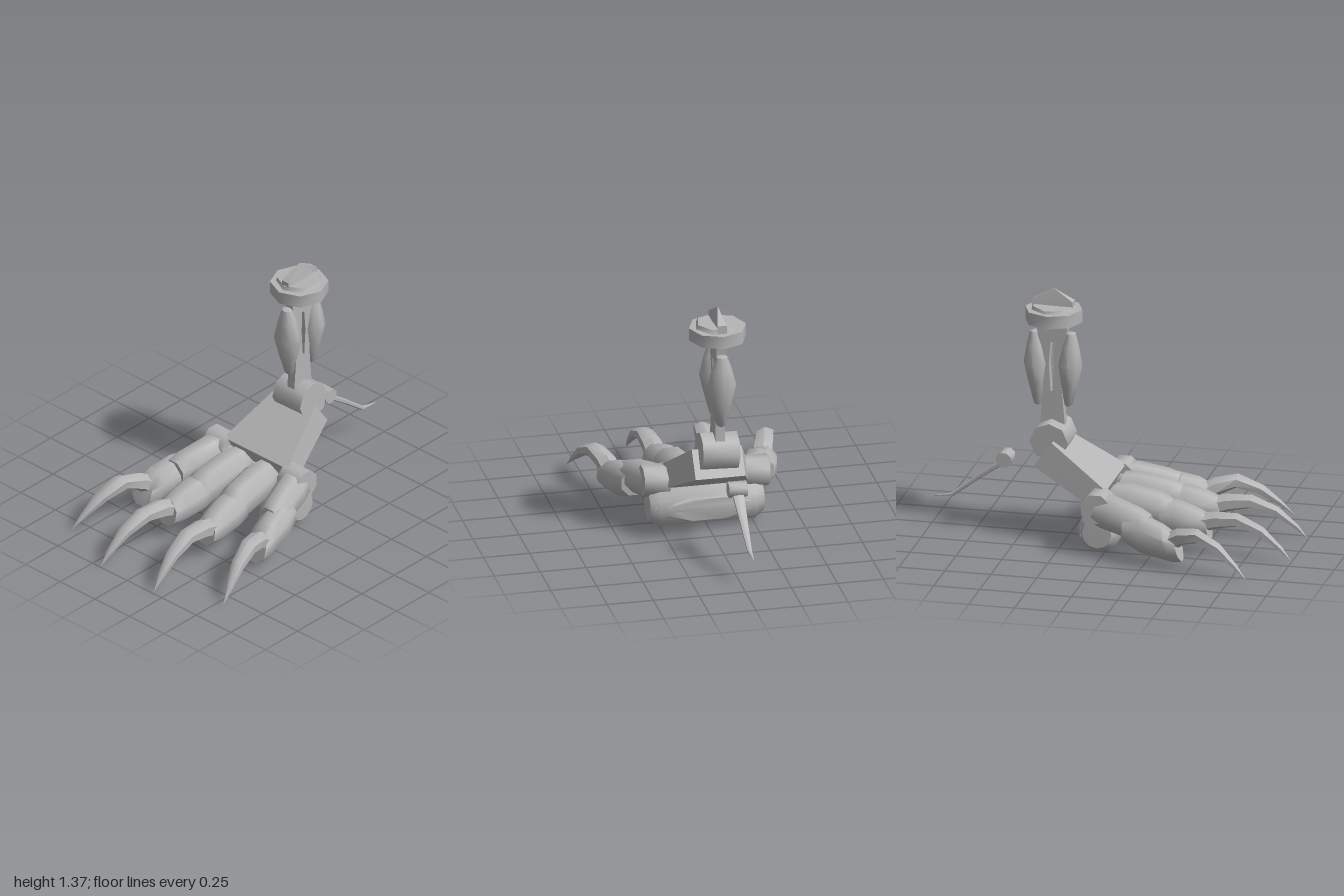
import * as THREE from 'three';
import { toCreasedNormals } from 'three/addons/utils/BufferGeometryUtils.js';

const grey = new THREE.MeshStandardMaterial({ color: 0xb4b4b4 });
grey.name = 'stone grey';

function part(name, geometry, parent, crease = 0.9) {
  const flat = geometry.index ? geometry.toNonIndexed() : geometry;
  const mesh = new THREE.Mesh(toCreasedNormals(flat, crease), grey);
  mesh.name = name;
  parent.add(mesh);
  return mesh;
}

// Skin over elliptical rings running toward +z: [x, y, z, halfWidth, halfHeight, tilt]
function loft(rings, sides = 8, phase = Math.PI / 8, mirror = 1) {
  const pos = [], idx = [], n = rings.length;
  for (const [x, y, z, w, h, t = 0] of rings) {
    for (let j = 0; j < sides; j++) {
      const a = phase + (j / sides) * Math.PI * 2;
      const u = Math.sin(a) * h;
      pos.push(mirror * x + Math.cos(a) * w, y + u * Math.cos(t), z - u * Math.sin(t));
    }
  }
  for (let i = 0; i < n - 1; i++) {
    for (let j = 0; j < sides; j++) {
      const k = (j + 1) % sides, a = i * sides, b = a + sides;
      idx.push(a + j, a + k, b + j, a + k, b + k, b + j);
    }
  }
  const last = (n - 1) * sides;
  for (let j = 1; j < sides - 1; j++) {
    idx.push(0, j + 1, j, last, last + j, last + j + 1);
  }
  const g = new THREE.BufferGeometry();
  g.setAttribute('position', new THREE.Float32BufferAttribute(pos, 3));
  g.setIndex(idx);
  return g;
}

// Turned solid from [radius, height] pairs
const lathe = (points, sides) =>
  new THREE.LatheGeometry(points.map(([r, y]) => new THREE.Vector2(r, y)), sides);

// Cylinder lying along x, with its facets turned by spin
const roller = (radius, length, spin = 0) =>
  new THREE.CylinderGeometry(radius, radius, length, 8).rotateY(spin).rotateZ(Math.PI / 2);

// Side-on outline in (z, y), given thickness along x and centred there
function slab(outline, thickness, hole) {
  const toPoint = ([z, y]) => new THREE.Vector2(-z, y);
  const shape = new THREE.Shape(outline.map(toPoint));
  if (hole) shape.holes.push(new THREE.Path(hole.map(toPoint)));
  const g = new THREE.ExtrudeGeometry(shape, { depth: thickness, bevelEnabled: false });
  return g.translate(0, 0, -thickness / 2).rotateY(Math.PI / 2);
}

const innerToe = {
  base: [[0.095, 0.255, 0, 0.085, 0.085, -0.3], [0.1, 0.245, 0.07, 0.1, 0.1, -0.3],
    [0.112, 0.21, 0.26, 0.098, 0.1, -0.2], [0.12, 0.19, 0.34, 0.085, 0.085]],
  middle: [[0.12, 0.185, 0.27, 0.085, 0.09], [0.125, 0.18, 0.36, 0.1, 0.1],
    [0.135, 0.16, 0.47, 0.088, 0.095, 0.2], [0.14, 0.15, 0.54, 0.07, 0.075, 0.2]],
  claw: [[0.14, 0.15, 0.44, 0.062, 0.055, 0.5], [0.148, 0.192, 0.58, 0.058, 0.048, 0.3],
    [0.156, 0.203, 0.7, 0.05, 0.038, -0.1], [0.17, 0.155, 0.83, 0.038, 0.028, -0.6],
    [0.183, 0.07, 0.94, 0.019, 0.014, -0.8], [0.19, 0.005, 1, 0.001, 0.001, -0.8]]
};
const outerToe = {
  base: [[0.26, 0.25, -0.06, 0.08, 0.08, -0.3], [0.285, 0.24, 0.02, 0.092, 0.095, -0.3],
    [0.33, 0.2, 0.19, 0.088, 0.09, -0.2], [0.345, 0.185, 0.27, 0.075, 0.075]],
  middle: [[0.345, 0.18, 0.13, 0.075, 0.075], [0.365, 0.16, 0.23, 0.096, 0.105],
    [0.4, 0.13, 0.38, 0.088, 0.105, 0.3], [0.412, 0.115, 0.44, 0.07, 0.08, 0.3]],
  claw: [[0.395, 0.115, 0.35, 0.06, 0.055, 0.6], [0.428, 0.18, 0.45, 0.058, 0.048, 0.4],
    [0.462, 0.205, 0.55, 0.052, 0.04, -0.1], [0.493, 0.155, 0.67, 0.04, 0.03, -0.6],
    [0.524, 0.075, 0.77, 0.02, 0.016, -0.8], [0.547, 0.008, 0.84, 0.001, 0.001, -0.8]]
};

export function createModel() {
  const model = new THREE.Group();
  model.name = 'clawedFoot';

  // Rounded heel pad lying across the foot, bulging up and back
  part('heelPad', loft([[0, 0.113, -0.03, 0.235, 0.065], [0, 0.113, -0.03, 0.31, 0.07],
    [0, 0.113, -0.03, 0.31, 0.07]].map((r, i) => [r[0], r[1], -0.145 + i * 0.02, r[3], r[4]]), 8), model);
  part('heelRoll', lathe([[0, -0.312], [0.08, -0.31], [0.116, -0.26],
    [0.116, 0.26], [0.08, 0.31], [0, 0.312]], 12)
    .rotateZ(Math.PI / 2).translate(0, 0.116, -0.03), model);

  // Wedge rising from the toes to the ankle
  const q = Math.SQRT2;
  part('instep', loft([[0, 0.475, -0.365, 0.135 * q, 0.083 * q, -0.62],
    [0, 0.275, -0.03, 0.23 * q, 0.065 * q, -0.5]], 4, Math.PI / 4), model);

  // Toes, mirrored left and right
  for (const [side, label] of [[1, 'left'], [-1, 'right']]) {
    for (const [toe, kind] of [[innerToe, 'Inner'], [outerToe, 'Outer']]) {
      const group = new THREE.Group();
      group.name = `${label}${kind}Toe`;
      for (const name of ['base', 'middle', 'claw']) {
        const claw = name === 'claw';
        part(name, loft(toe[name], claw ? 6 : 8, claw ? Math.PI / 6 : Math.PI / 8, side), group);
      }
      model.add(group);
    }
    part(`${label}Knuckle`, roller(0.085, 0.14, Math.PI / 8)
      .translate(side * 0.27, 0.262, -0.03), model);
  }

  // Ankle roller
  part('ankle', roller(0.105, 0.2).rotateZ(0.04).translate(0, 0.537, -0.342), model);

  // Flat shin with a slit
  part('shin', slab([[-0.27, 0.58], [-0.29, 0.82], [-0.255, 1.2], [-0.43, 1.2],
    [-0.39, 0.82], [-0.41, 0.58]], 0.05,
  [[-0.34, 0.8], [-0.35, 0.8], [-0.36, 0.95], [-0.35, 1.07], [-0.335, 1.07], [-0.33, 0.95]]), model);

  // Pointed spindles in front of and behind the shin
  for (const [name, z, lean] of [['frontSpindle', -0.25, 0.04], ['rearSpindle', -0.435, -0.04]]) {
    part(name, lathe([[0, -0.24], [0.025, -0.225], [0.058, -0.1], [0.08, 0],
      [0.056, 0.1], [0.03, 0.175], [0, 0.185]], 8)
      .scale(1, 1, 0.84).rotateX(lean).translate(0, 0.945, z), model);
  }

  // Collar and tilted cap on top of the shin
  part('collar', new THREE.CylinderGeometry(0.155, 0.155, 0.07, 8)
    .translate(0, 1.22, -0.338), model);
  part('cap', new THREE.CylinderGeometry(0.115, 0.125, 0.022, 7)
    .rotateZ(0.04).translate(0, 1.264, -0.337), model);

  // Crest sharpened to a point along its upper edge
  const crest = slab([[-0.23, 1.24], [-0.23, 1.3], [-0.34, 1.367],
    [-0.45, 1.3], [-0.45, 1.24]], 0.05);
  const p = crest.attributes.position;
  for (let i = 0; i < p.count; i++) if (p.getY(i) > 1.35) p.setX(i, p.getX(i) * 0.05);
  part('crest', crest, model, 0.4);

  // Rear spur floating behind the foot
  const spur = new THREE.Group();
  spur.name = 'rearSpur';
  part('spurKnuckle', roller(0.043, 0.1, Math.PI / 8).translate(-0.05, 0.413, -0.588), spur);
  part('spurClaw', loft([[-0.05, 0.167, -0.99, 0.001, 0.001], [-0.05, 0.183, -0.88, 0.014, 0.011, 0.4],
    [-0.05, 0.3, -0.73, 0.025, 0.014, 0.63], [-0.05, 0.4, -0.59, 0.035, 0.017, 0.63]], 6, Math.PI / 6), spur);
  model.add(spur);

  return model;
}
